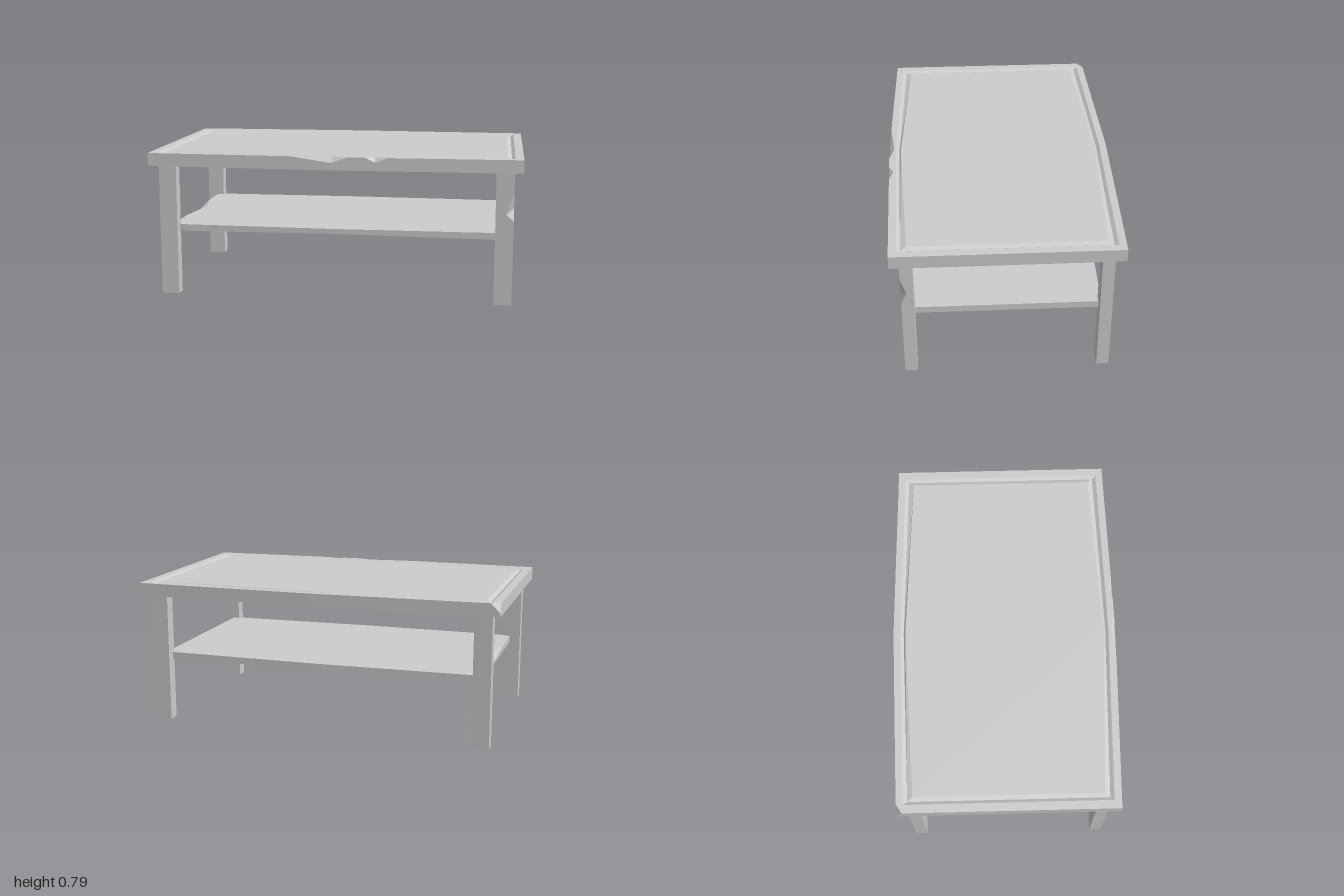
import * as THREE from 'three';

const material = new THREE.MeshStandardMaterial({ color: 0xcccccc, flatShading: true });
const V = (x, y, z) => new THREE.Vector3(x, y, z);

// Flat-shaded solid from polygons listed counter-clockwise from outside.
// A face is an array of points, or { loop, hole }.
function solid(name, faces) {
  const positions = [];
  for (const face of faces) {
    const loop = face.loop ?? face;
    const hole = face.hole ?? [];
    const normal = V(0, 0, 0);
    loop.forEach((p, i) => normal.add(p.clone().cross(loop[(i + 1) % loop.length])));
    const [ax, ay, az] = normal.toArray().map(Math.abs);
    const flat = (p) =>
      ay >= ax && ay >= az ? new THREE.Vector2(p.x, p.z)
        : ax >= az ? new THREE.Vector2(p.y, p.z) : new THREE.Vector2(p.x, p.y);
    const points = [...loop, ...hole];
    const holes = hole.length ? [hole.map(flat)] : [];
    for (const t of THREE.ShapeUtils.triangulateShape(loop.map(flat), holes)) {
      const [a, b, c] = t.map((i) => points[i]);
      const out = b.clone().sub(a).cross(c.clone().sub(a)).dot(normal) > 0;
      for (const p of out ? [a, b, c] : [a, c, b]) positions.push(p.x, p.y, p.z);
    }
  }
  const geometry = new THREE.BufferGeometry();
  geometry.setAttribute('position', new THREE.Float32BufferAttribute(positions, 3));
  geometry.computeVertexNormals();
  const mesh = new THREE.Mesh(geometry, material);
  mesh.name = name;
  return mesh;
}

// Six-point outline, slightly bowed in the middle of the long sides
const bowed = (x, z, mid, y) => [
  V(-x, y, z), V(0, y, mid), V(x, y, z), V(x, y, -z), V(0, y, -mid), V(-x, y, -z),
];

// Table top with a shallow groove, two front chips and a broken back corner
function tableTop() {
  const b = 0.715, t = 0.785, ze = 0.588, zm = 0.61;
  const wall = (x, y) => V(x, y, zm - (zm - ze) * Math.abs(x));
  const chip = (x0, xa, x1, ya) => ({
    start: wall(x0, t), apex: wall(xa, ya), end: wall(x1, t), inner: V(xa, t, 0.583),
  });
  const chips = [chip(-0.22, 0, 0.09, 0.755), chip(0.18, 0.23, 0.3, 0.76)];
  const [c1, c2] = chips;
  const [fl, , fr, br, bm, bl] = bowed(1, ze, zm, t);
  const low = bowed(1, ze, zm, b);
  const q1 = V(-1, t, -0.558), q2 = V(-0.95, t, -0.589), q3 = V(-1, t - 0.05, -ze);
  const rings = [
    bowed(0.955, 0.55, 0.572, t),
    bowed(0.938, 0.53, 0.555, t - 0.012),
    bowed(0.915, 0.502, 0.545, t - 0.001),
  ];
  const faces = [
    { loop: [fl, c1.start, c1.inner, c1.end, c2.start, c2.inner, c2.end, fr, br, bm, q2, q1], hole: rings[0] },
    [low[0], low[1], c1.apex, c1.start, fl],
    [low[1], low[2], fr, c2.end, c2.apex, c2.start, c1.end, c1.apex],
    [low[2], low[3], br, fr],
    [low[3], low[4], bm, br],
    [low[4], low[5], q3, q2, bm],
    [low[5], low[0], fl, q1, q3],
    [q1, q2, q3],
    [...low].reverse(),
    rings[2],
  ];
  for (const c of chips) faces.push([c.inner, c.start, c.apex], [c.end, c.inner, c.apex]);
  for (let r = 0; r < 2; r++) {
    for (let i = 0; i < 6; i++) {
      const j = (i + 1) % 6;
      faces.push([rings[r][i], rings[r][j], rings[r + 1][j], rings[r + 1][i]]);
    }
  }
  return solid('tableTop', faces);
}

// Lower shelf with a long chip on its right end
function shelf() {
  const x = 0.895, z = 0.49, t = 0.38;
  const top = bowed(x, z, 0.505, t);
  const low = bowed(x, z, 0.505, 0.343);
  low[1].y = 0.353;
  const s1 = V(-x, t, -0.25), s2 = V(-x, t, 0.23);
  const apex = V(-x, 0.362, -0.05), inner = V(-0.85, t, -0.03);
  const faces = [
    [...top, s1, inner, s2],
    [inner, s1, apex],
    [s2, inner, apex],
    [low[5], low[0], top[0], s2, apex, s1, top[5]],
    [low[0], low[5], low[4], low[1]],
    [low[1], low[4], low[3], low[2]],
  ];
  for (let i = 0; i < 5; i++) faces.push([low[i], low[i + 1], top[i + 1], top[i]]);
  return solid('shelf', faces);
}

// Front left leg with a splintered outer edge
const X0 = 0.86, X1 = 0.955, Z0 = 0.475, Z1 = 0.54, H = 0.716;
function chippedLeg() {
  const a = V(X1, 0.61, Z1), b = V(X1, 0.52, 0.511), c = V(X1 - 0.04, 0.49, Z1), d = V(X1, 0.455, Z1);
  const ring = (y) => [V(X0, y, Z1), V(X1, y, Z1), V(X1, y, Z0), V(X0, y, Z0)];
  const l = ring(0), u = ring(H);
  return solid('frontLeftLeg', [
    [l[0], l[1], d, c, a, u[1], u[0]],
    [l[1], l[2], u[2], u[1], a, b, d],
    [l[2], l[3], u[3], u[2]],
    [l[3], l[0], u[0], u[3]],
    u, [...l].reverse(),
    [a, c, b], [b, c, d],
  ]);
}

export function createModel() {
  const group = new THREE.Group();
  group.name = 'coffeeTable';
  group.add(tableTop(), shelf(), chippedLeg());
  // Remaining plain legs
  for (const [name, sx, sz] of [['frontRightLeg', -1, 1], ['backLeftLeg', 1, -1], ['backRightLeg', -1, -1]]) {
    const leg = new THREE.Mesh(new THREE.BoxGeometry(X1 - X0, H, Z1 - Z0), material);
    leg.name = name;
    leg.position.set((sx * (X0 + X1)) / 2, H / 2, (sz * (Z0 + Z1)) / 2);
    group.add(leg);
  }
  return group;
}
